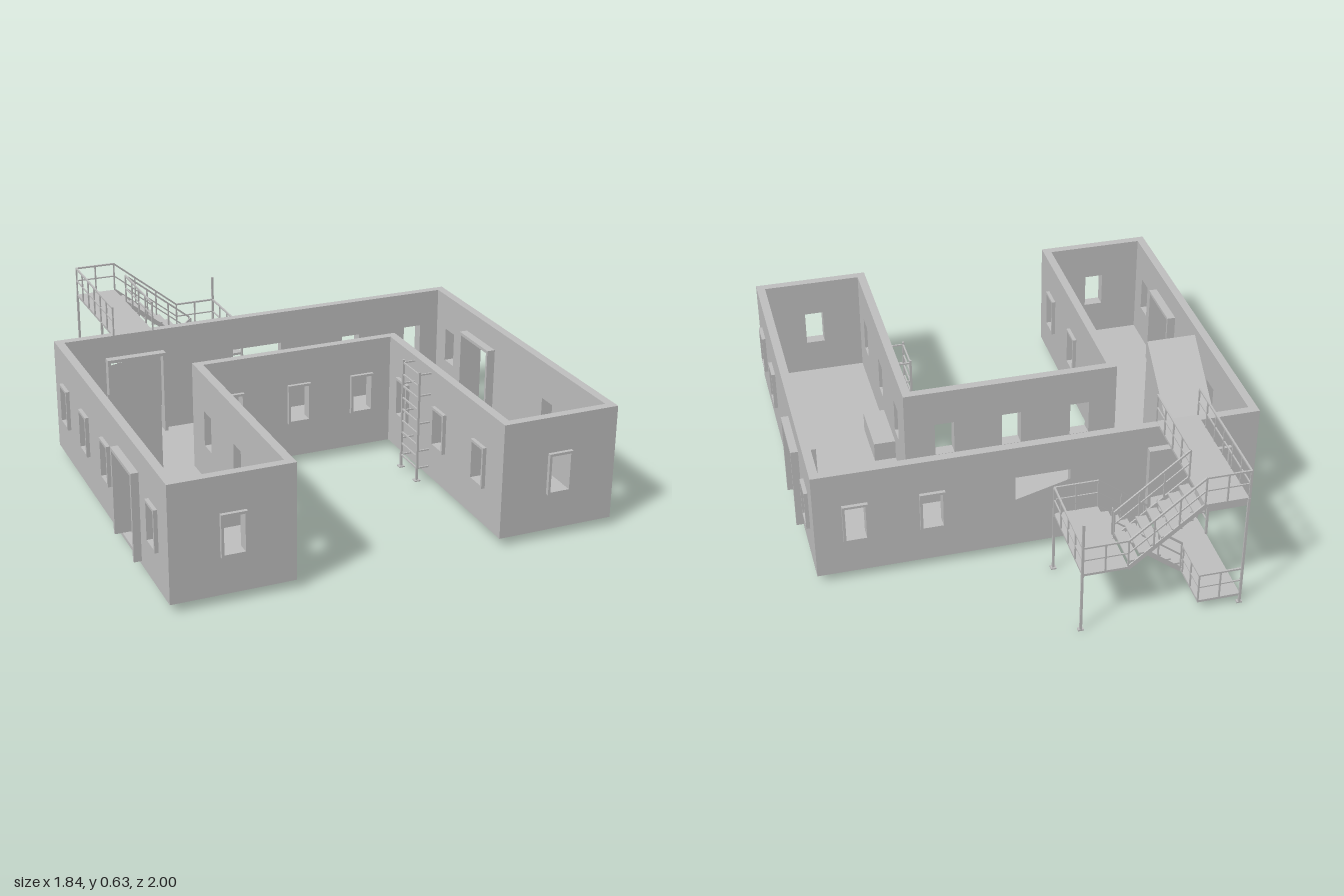
import * as THREE from 'three';

const GREY = new THREE.MeshStandardMaterial({ color: 0xbfbfbf });
GREY.name = 'plain grey';

const BASE = 0.035, FLOOR = 0.05, TOP = 0.5, T = 0.035;

function add(parent, name, geo) {
  const m = new THREE.Mesh(geo, GREY);
  m.name = name;
  parent.add(m);
  return m;
}

// Box given by its two extreme corners
function box(parent, name, x0, x1, y0, y1, z0, z1) {
  const m = add(parent, name, new THREE.BoxGeometry(x1 - x0, y1 - y0, z1 - z0));
  m.position.set((x0 + x1) / 2, (y0 + y1) / 2, (z0 + z1) / 2);
  return m;
}

// Square bar between two points
function bar(parent, name, a, b, w = 0.007) {
  const p = new THREE.Vector3(...a), q = new THREE.Vector3(...b);
  const m = add(parent, name, new THREE.BoxGeometry(w, w, p.distanceTo(q) + w * 0.5));
  m.position.copy(p).lerp(q, 0.5);
  m.lookAt(q);
  return m;
}

function rect(Kind, x0, x1, y0, y1) {
  const s = new Kind();
  s.moveTo(x0, y0); s.lineTo(x1, y0); s.lineTo(x1, y1); s.lineTo(x0, y1); s.closePath();
  return s;
}

function slab(shape, z0, z1) {
  return new THREE.ExtrudeGeometry(shape, { depth: z1 - z0, bevelEnabled: false }).translate(0, 0, z0);
}

// Wall with openings; local +z points outward, u is the world coordinate times sign
function wall(parent, name, { turn, offset, from, to, sign = 1, windows = [], doors = [], plain = [] }) {
  const g = new THREE.Group();
  g.name = name;
  g.rotation.y = turn * Math.PI / 2;
  g.position.set(Math.sin(g.rotation.y) * offset, 0, Math.cos(g.rotation.y) * offset);
  parent.add(g);
  const panel = rect(THREE.Shape, Math.min(from * sign, to * sign), Math.max(from * sign, to * sign), BASE, TOP);

  for (const w of windows) {
    const u = w * sign;
    panel.holes.push(rect(THREE.Path, u - 0.05, u + 0.05, 0.187, 0.355));
    const frame = rect(THREE.Shape, u - 0.05, u + 0.05, 0.187, 0.355);
    frame.holes.push(rect(THREE.Path, u - 0.04, u + 0.04, 0.197, 0.345));
    add(g, 'windowFrame', slab(frame, -T, 0.015));
  }
  for (const d of doors) {
    const u = d * sign, h = 0.126, t = 0.013;
    panel.holes.push(rect(THREE.Path, u - h + 0.004, u + h - 0.004, FLOOR, 0.402));
    const f = new THREE.Shape();
    [[-h, FLOOR], [-h + t, FLOOR], [-h + t, 0.393], [h - t, 0.393], [h - t, FLOOR], [h, FLOOR], [h, 0.406], [-h, 0.406]]
      .forEach(([x, y], i) => (i ? f.lineTo(u + x, y) : f.moveTo(u + x, y)));
    add(g, 'doorFrame', slab(f, -0.07, 0.03));
  }
  for (const [a, b] of plain) {
    panel.holes.push(rect(THREE.Path, Math.min(a * sign, b * sign), Math.max(a * sign, b * sign), 0.187, 0.36));
  }
  add(g, 'wallPanel', slab(panel, -T, 0));
}

// Handrail, mid rail and posts along a line whose ends sit at deck height
function railing(parent, a, b, posts, h = 0.125) {
  const up = (p, d) => [p[0], p[1] + d, p[2]];
  bar(parent, 'handrail', up(a, h - 0.003), up(b, h - 0.003));
  bar(parent, 'midRail', up(a, h * 0.52), up(b, h * 0.52), 0.005);
  for (let i = 0; i < posts; i++) {
    const k = i / (posts - 1), p = a.map((v, j) => v + (b[j] - v) * k);
    bar(parent, 'railPost', p, up(p, h - 0.003), 0.006);
  }
}

// Flight of treads with stringers and side railings
function flight(parent, name, x0, y0, x1, y1, z0, z1, steps = 7) {
  const g = new THREE.Group();
  g.name = name;
  parent.add(g);
  const run = (x1 - x0) / steps, rise = (y1 - y0) / (steps + 1);
  for (let i = 0; i < steps; i++) {
    const x = x0 + run * i, y = y0 + rise * (i + 1);
    box(g, 'tread', Math.min(x, x + run), Math.max(x, x + run), y - 0.007, y, z0, z1);
  }
  for (const z of [z0, z1]) {
    const s = bar(g, 'stringer', [x0, y0 - 0.005, z], [x1, y1 - 0.005, z], 0.006);
    s.scale.y = 3;
    railing(g, [x0, y0, z], [x1, y1, z], 4);
  }
}

export function createModel() {
  const model = new THREE.Group();
  model.name = 'courtyardBuilding';

  // U-shaped floor
  const plan = new THREE.Shape();
  [[-0.89, 0.48], [-0.89, -0.98], [-0.41, -0.98], [-0.41, 0], [0.41, 0], [0.41, -0.98], [0.89, -0.98], [0.89, 0.48]]
    .forEach(([x, y], i) => (i ? plan.lineTo(x, y) : plan.moveTo(x, y)));
  add(model, 'floor', slab(plan, BASE, FLOOR).rotateX(-Math.PI / 2));

  // Walls
  wall(model, 'leftWall', { turn: 1, offset: 0.89, from: -0.48, to: 0.98, sign: -1, windows: [0.82, 0.53, -0.32], doors: [-0.037] });
  wall(model, 'rightWall', { turn: -1, offset: 0.89, from: -0.48, to: 0.98, windows: [-0.32, -0.04, 0.25, 0.82], doors: [0.535] });
  wall(model, 'backWall', { turn: 2, offset: 0.48, from: -0.89, to: 0.89, sign: -1, windows: [-0.73, 0.43, 0.73], doors: [-0.558], plain: [[-0.12, 0.1]] });
  wall(model, 'courtyardBackWall', { turn: 0, offset: 0, from: -0.445, to: 0.445, windows: [-0.29, 0, 0.28] });
  wall(model, 'courtyardRightWall', { turn: 1, offset: -0.41, from: 0, to: 0.98, sign: -1, windows: [0.14, 0.47, 0.8] });
  wall(model, 'courtyardLeftWall', { turn: -1, offset: -0.41, from: 0, to: 0.98, windows: [0.14, 0.47, 0.8] });
  wall(model, 'rightWingFrontWall', { turn: 0, offset: 0.98, from: -0.89, to: -0.41, windows: [-0.65] });
  wall(model, 'leftWingFrontWall', { turn: 0, offset: 0.98, from: 0.41, to: 0.89, windows: [0.65] });

  // Indoor ramp and low cabinets
  const wedge = new THREE.Shape();
  wedge.moveTo(-0.4, FLOOR); wedge.lineTo(0.13, FLOOR); wedge.lineTo(0.13, 0.49); wedge.closePath();
  add(model, 'indoorRamp', slab(wedge, 0, 0.21).rotateY(-Math.PI / 2)).position.x = -0.63;
  box(model, 'cabinet', 0.225, 0.44, FLOOR, 0.135, -0.155, -0.04);
  box(model, 'cabinet', 0.445, 0.535, FLOOR, 0.135, 0.185, 0.425);
  box(model, 'cabinet', -0.54, -0.445, FLOOR, 0.135, 0.35, 0.53);

  // Courtyard wall ladder
  const ladder = new THREE.Group();
  ladder.name = 'ladder';
  model.add(ladder);
  for (const z of [0.235, 0.38]) {
    bar(ladder, 'ladderPost', [0.358, 0.022, z], [0.358, 0.49, z], 0.009);
    box(ladder, 'ladderFoot', 0.346, 0.37, 0.02, 0.025, z - 0.012, z + 0.012);
    for (const y of [0.075, 0.15, 0.27, 0.39, 0.48]) bar(ladder, 'ladderBracket', [0.358, y, z], [0.41, y, z], 0.006);
  }
  for (let i = 0; i < 9; i++) {
    const y = 0.075 + i * 0.0506;
    bar(ladder, 'ladderRung', [0.358, y, 0.235], [0.358, y, 0.38], 0.006);
  }

  // Outside staircase: three decks
  const stairs = new THREE.Group();
  stairs.name = 'outsideStaircase';
  model.add(stairs);
  const L = -0.645, M = -0.475, N = -0.19, R = -0.015, B = -0.995, F = -0.62;
  const low = 0.045, mid = 0.27;
  box(stairs, 'upperDeck', L, M, TOP - 0.01, TOP + 0.001, B, -0.445);
  box(stairs, 'middleDeck', N, R, mid - 0.01, mid, B, F);
  box(stairs, 'lowerDeck', L, M, low - 0.01, low, B, -0.48);

  // Two flights
  flight(stairs, 'upperFlight', N, mid, M, TOP, B, -0.82);
  flight(stairs, 'lowerFlight', M, low, N, mid, -0.797, F);

  // Deck railings
  railing(stairs, [L, TOP, B], [L, TOP, -0.445], 7);
  railing(stairs, [L, TOP, B], [M, TOP, B], 3);
  railing(stairs, [M, TOP, -0.82], [M, TOP, -0.445], 5);
  railing(stairs, [R, mid, B], [R, mid, F], 5);
  for (const z of [B, F]) railing(stairs, [N, mid, z], [R, mid, z], 3);
  railing(stairs, [L, low, B], [M, low, B], 3);
  railing(stairs, [M, low, B], [M, low, -0.82], 3);
  for (const x of [L, M]) railing(stairs, [x, low, F], [x, low, -0.515], 2);

  // Supports with foot plates
  for (const [x, z, h] of [[L, B, TOP], [L, F, TOP], [R, B, TOP], [R, F, 0.39]]) {
    bar(stairs, 'supportPost', [x, 0.003, z], [x, h - 0.003, z], 0.009);
    box(stairs, 'footPlate', x - 0.011, x + 0.011, 0, 0.006, z - 0.011 + 0.006 * (z === B), z + 0.011);
  }
  return model;
}
